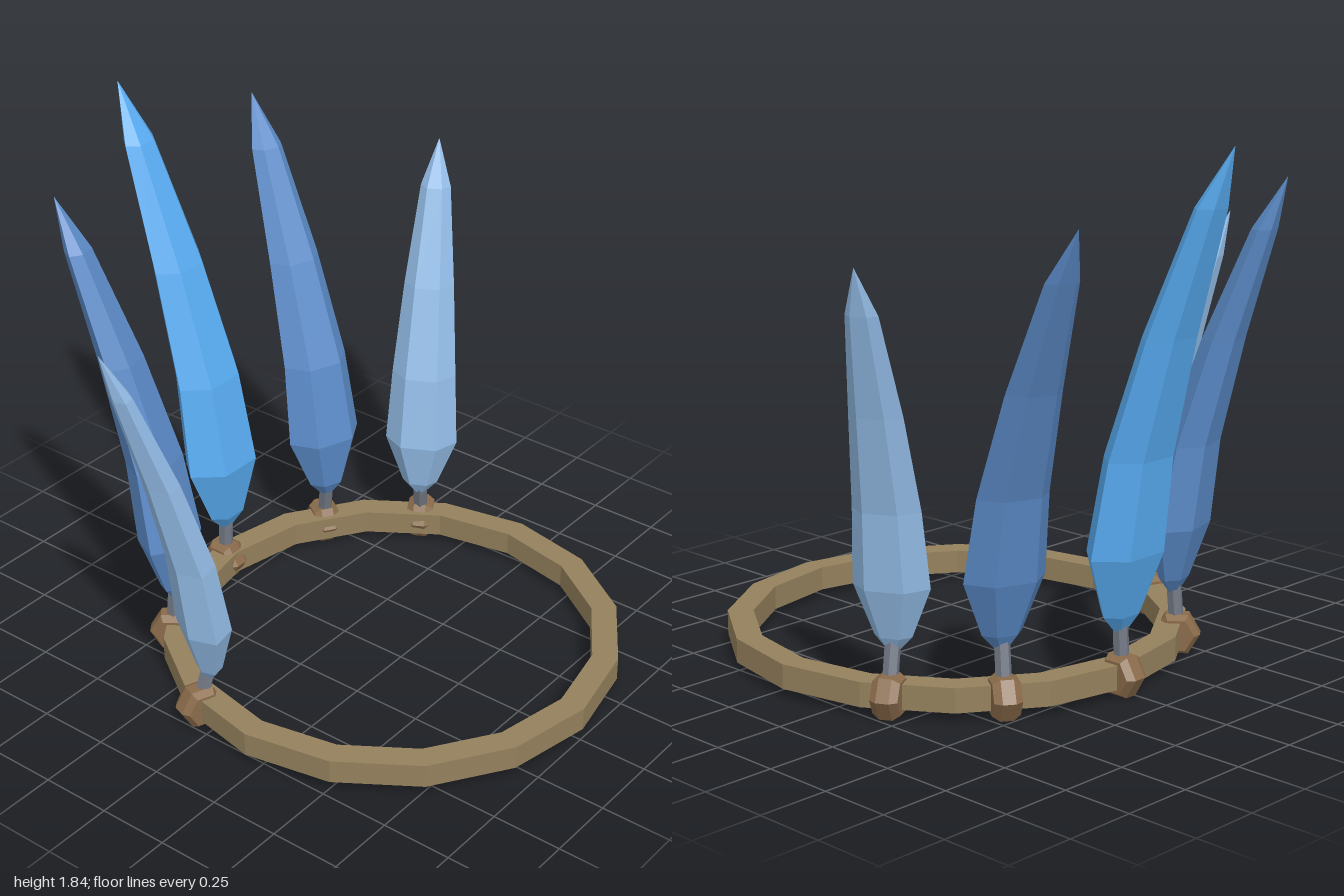
import * as THREE from 'three';

const CENTER = new THREE.Vector3(0.02, 0.07, 0.195); // middle of the band

const flat = (color) => new THREE.MeshStandardMaterial({ color, flatShading: true });

function part(name, geometry, material) {
  const mesh = new THREE.Mesh(geometry, material);
  mesh.name = name;
  return mesh;
}

// Feather sections from base to tip: [height share, half width share, bend share]
const SECTIONS = [
  [0, 0.018, 0], [0.035, 0.05, 0], [0.167, 0.102, 0.04], [0.37, 0.09, 0.16],
  [0.62, 0.07, 0.44], [0.88, 0.042, 0.8], [1, 0.0005, 1],
];

// Flattened hexagonal feather that curves from its base to its tip
function featherGeometry(base, tip) {
  const rows = SECTIONS.length - 1;
  const height = tip.y - base.y;
  const reach = Math.hypot(tip.x - base.x, tip.z - base.z);
  const geo = new THREE.CylinderGeometry(1, 1, 1, 6, rows, false, Math.PI / 2);
  const pos = geo.attributes.position;
  for (let i = 0; i < pos.count; i++) {
    const [h, w, bend] = SECTIONS[Math.round((pos.getY(i) + 0.5) * rows)];
    pos.setXYZ(i,
      pos.getX(i) * w * height,
      h * height,
      pos.getZ(i) * w * height * 0.66 + bend * reach);
  }
  geo.computeVertexNormals();
  return geo;
}

// Straight stem between two points
function stem(from, to, material) {
  const dir = to.clone().sub(from);
  const mesh = part('stem', new THREE.CylinderGeometry(0.027, 0.027, dir.length(), 6), material);
  mesh.position.copy(from).addScaledVector(dir, 0.5);
  mesh.quaternion.setFromUnitVectors(new THREE.Vector3(0, 1, 0), dir.normalize());
  return mesh;
}

export function createModel() {
  const model = new THREE.Group();
  const bandMat = flat(0x94805c);
  const knotMat = flat(0x8a6b4a);
  const stemMat = flat(0x737884);
  const bright = flat(0x58acf2);
  const medium = flat(0x5b8bc8);
  const pale = flat(0x93bce6);

  // Sixteen-sided head band with a square section
  const profile = [[0.71, 0.03], [0.8, 0.03], [0.8, 0.115], [0.71, 0.115], [0.71, 0.03]]
    .map(([r, y]) => new THREE.Vector2(r, y));
  const band = part('headBand', new THREE.LatheGeometry(profile, 16), bandMat);
  band.position.set(CENTER.x, 0, CENTER.z);
  model.add(band);

  // Six-sided bead with bevelled rims, threaded on the band
  const beadProfile = [[0, -0.047], [0.062, -0.047], [0.08, -0.022], [0.08, 0.022], [0.062, 0.047], [0, 0.047]]
    .map(([r, y]) => new THREE.Vector2(r, y));
  const beadGeo = new THREE.LatheGeometry(beadProfile, 6);
  beadGeo.rotateZ(Math.PI / 2);

  // Each feather: material, base and tip
  const feathers = [
    ['centerFeather', bright, [0.02, 0.22, -0.565], [0.02, 1.84, -1.0]],
    ['backLeftFeather', medium, [0.42, 0.22, -0.415], [0.59, 1.64, -0.89]],
    ['backRightFeather', medium, [-0.425, 0.22, -0.415], [-0.53, 1.675, -0.78]],
    ['sideLeftFeather', pale, [0.65, 0.21, -0.155], [0.935, 1.5, -0.305]],
    ['sideRightFeather', pale, [-0.665, 0.17, -0.055], [-0.94, 1.46, -0.215]],
  ];

  for (const [name, material, b, t] of feathers) {
    const base = new THREE.Vector3(...b);
    const tip = new THREE.Vector3(...t);
    const group = new THREE.Group();
    group.name = name;

    // Knot on the band, aligned with the band's direction
    const angle = Math.atan2(base.x - CENTER.x, base.z - CENTER.z);
    const knot = part('knot', beadGeo, knotMat);
    knot.position.set(CENTER.x + 0.77 * Math.sin(angle), CENTER.y, CENTER.z + 0.77 * Math.cos(angle));
    knot.rotation.y = angle;

    // Blade turned towards its tip
    const blade = part('blade', featherGeometry(base, tip), material);
    blade.position.copy(base);
    blade.rotation.y = Math.atan2(tip.x - base.x, tip.z - base.z);

    const top = base.clone().setY(base.y + 0.04);
    group.add(knot, stem(knot.position, top, stemMat), blade);
    model.add(group);
  }
  return model;
}
